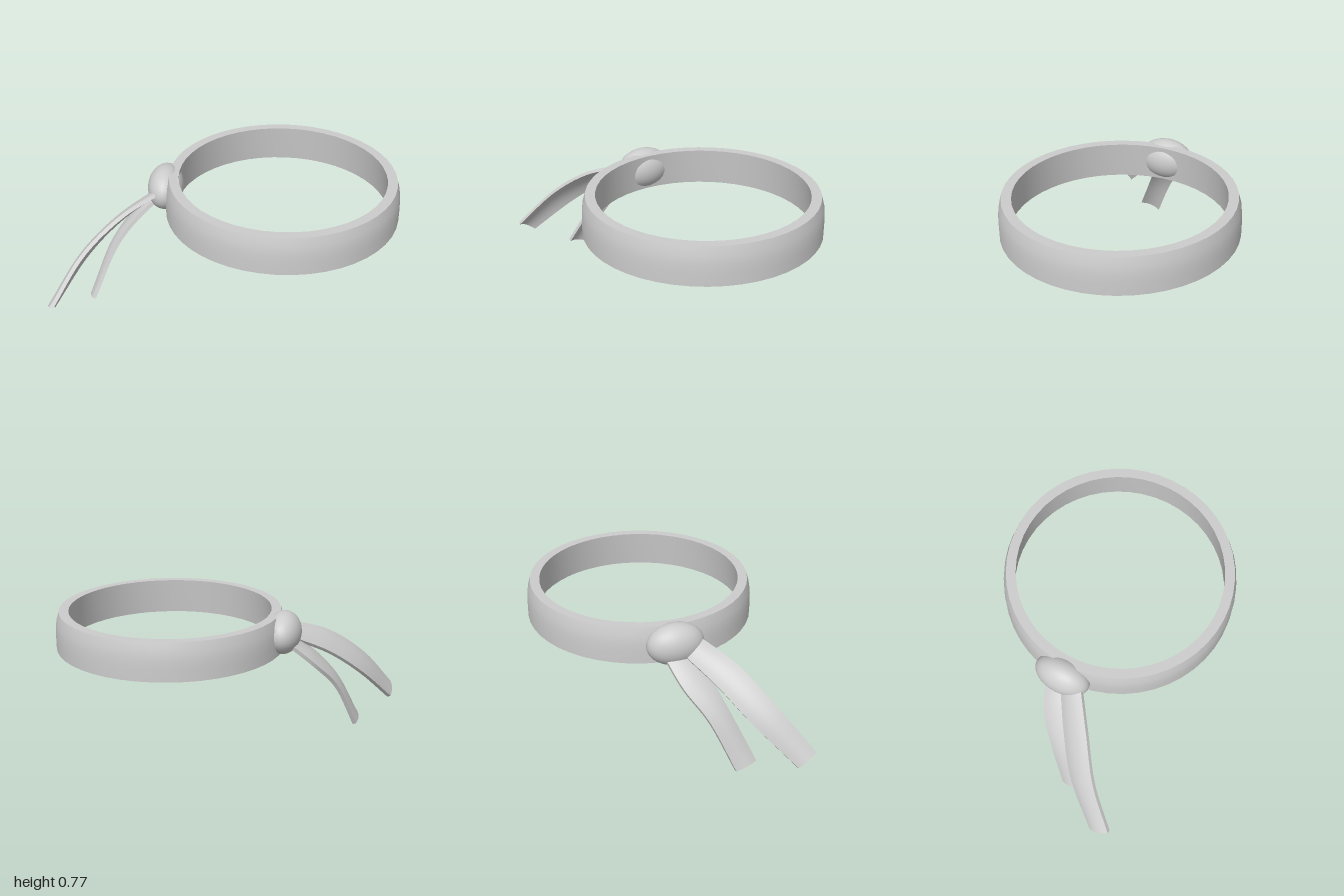
import * as THREE from 'three';
import { toCreasedNormals } from 'three/addons/utils/BufferGeometryUtils.js';

const curve = (pts) => new THREE.CatmullRomCurve3(pts.map((p) => new THREE.Vector3(...p)));

// Arched strip of cloth spanned between two edge curves
function ribbon(upper, lower, steps = 20, across = 6, bulge = 0.016, thick = 0.022) {
  const A = curve(upper), B = curve(lower);
  const pos = [], index = [];
  const ring = 2 * (across + 1);
  for (let i = 0; i <= steps; i++) {
    const t = i / steps;
    const a = A.getPoint(t), b = B.getPoint(t);
    const side = a.clone().sub(b);
    const n = A.getTangent(t).add(B.getTangent(t)).cross(side).normalize();
    for (let j = 0; j < ring; j++) {
      const top = j > across;
      const u = (top ? ring - 1 - j : j) / across;
      const h = bulge * 4 * u * (1 - u) + (top ? thick / 2 : -thick / 2);
      const p = b.clone().addScaledVector(side, u).addScaledVector(n, h);
      pos.push(p.x, p.y, p.z);
    }
  }
  for (let i = 0; i < steps; i++) {
    for (let j = 0; j < ring; j++) {
      const k = (j + 1) % ring;
      const p = i * ring + j, q = i * ring + k;
      index.push(p, q, q + ring, p, q + ring, p + ring);
    }
  }
  // cut end
  const e = steps * ring;
  for (let j = 0; j < across; j++) {
    const m = ring - 1 - j;
    index.push(e + j, e + j + 1, e + m - 1, e + j, e + m - 1, e + m);
  }
  const g = new THREE.BufferGeometry();
  g.setAttribute('position', new THREE.Float32BufferAttribute(pos, 3));
  g.setIndex(index);
  return toCreasedNormals(g, 0.7);
}

export function createModel() {
  const group = new THREE.Group();
  const cloth = new THREE.MeshStandardMaterial({ color: 0xcccccc });
  cloth.name = 'grey cloth';
  const add = (name, geometry) => {
    const mesh = new THREE.Mesh(geometry, cloth);
    mesh.name = name;
    group.add(mesh);
    return mesh;
  };

  // Headband: flat rims, outer wall rounding in towards the top
  const profile = [
    [0.685, 0.53], [0.685, 0.6], [0.683, 0.65], [0.677, 0.7], [0.662, 0.75],
    [0.605, 0.75], [0.616, 0.64], [0.628, 0.53], [0.685, 0.53],
  ].map((p) => new THREE.Vector2(...p));
  add('headband', toCreasedNormals(new THREE.LatheGeometry(profile, 48), 0.6)).position.x = 0.31;

  // Knot pushed through the band
  const knot = add('knot', new THREE.SphereGeometry(1, 32, 20));
  knot.scale.set(0.105, 0.125, 0.168);
  knot.position.set(-0.378, 0.645, 0);

  // Two hanging tails
  add('longTail', ribbon(
    [[-0.38, 0.68, 0.12], [-0.6, 0.585, 0.28], [-0.8, 0.415, 0.43], [-0.965, 0.165, 0.62]],
    [[-0.4, 0.62, 0], [-0.63, 0.49, 0.15], [-0.81, 0.33, 0.29], [-0.985, 0.095, 0.51]],
  ));
  add('shortTail', ribbon(
    [[-0.39, 0.62, 0.06], [-0.53, 0.5, 0.14], [-0.65, 0.35, 0.21], [-0.785, 0.045, 0.345]],
    [[-0.43, 0.59, -0.08], [-0.57, 0.46, -0.02], [-0.69, 0.3, 0.09], [-0.8, 0.008, 0.22]],
  ));
  return group;
}
